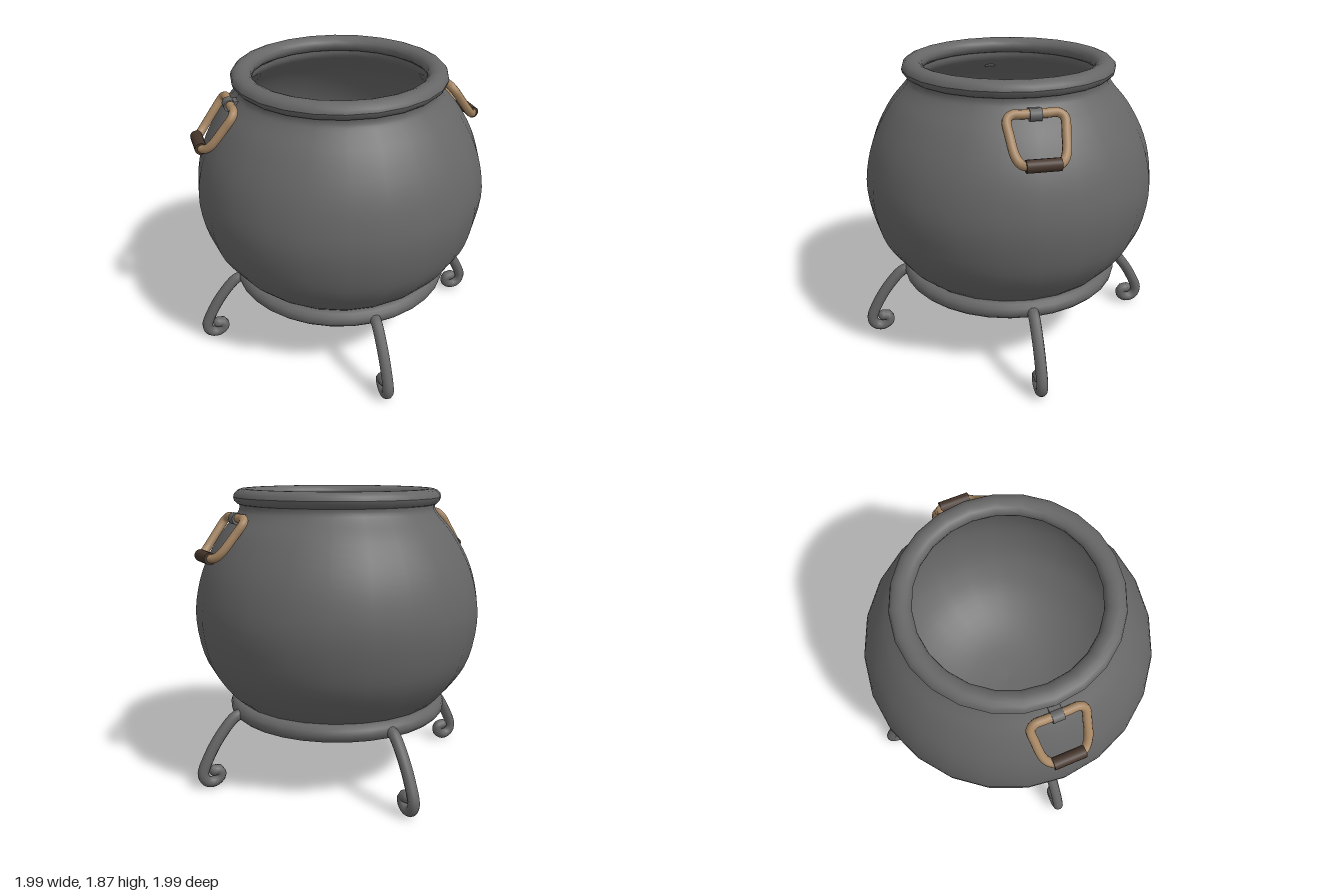
import * as THREE from 'three';

const v2 = (p) => new THREE.Vector2(p[0], p[1]);
const v3 = (p) => new THREE.Vector3(p[0], p[1], p[2]);

function material(name, color, side = THREE.FrontSide) {
  const m = new THREE.MeshStandardMaterial({ color, side });
  m.name = name;
  return m;
}

function addMesh(parent, name, geometry, mat) {
  const mesh = new THREE.Mesh(geometry, mat);
  mesh.name = name;
  parent.add(mesh);
  return mesh;
}

export function createModel() {
  const iron = material('castIron', 0x666666);
  const brass = material('agedBrass', 0xa58562);
  const wood = material('darkWood', 0x45352b);
  const model = new THREE.Group();
  model.name = 'cauldron';

  // Pot: round outer wall up to the neck, then back down the inner wall
  const outer = [[0, 0.33], [0.25, 0.347], [0.47, 0.405], [0.66, 0.515], [0.79, 0.655], [0.88, 0.82],
    [0.924, 1.06], [0.903, 1.26], [0.845, 1.435], [0.75, 1.6], [0.665, 1.7], [0.63, 1.75], [0.63, 1.79]];
  const inner = [[0.575, 1.79], [0.58, 1.74], [0.63, 1.68], [0.72, 1.58], [0.81, 1.43], [0.87, 1.26],
    [0.89, 1.06], [0.845, 0.83], [0.755, 0.675], [0.63, 0.545], [0.45, 0.44], [0.25, 0.383], [0, 0.365]];
  const smooth = (pts, n) => {
    const out = new THREE.SplineCurve(pts.map(v2)).getPoints(n);
    out.forEach((p) => { p.x = Math.max(p.x, 0); });
    return out;
  };
  addMesh(model, 'potOuterWall', new THREE.LatheGeometry(smooth(outer, 36), 24), iron);
  addMesh(model, 'potInnerWall', new THREE.LatheGeometry(smooth(inner, 36), 24), iron);

  // Rolled rim: slightly flattened round section
  const rim = [];
  for (let i = 0; i <= 14; i++) {
    const a = (i / 14) * Math.PI * 2;
    rim.push(new THREE.Vector2(0.6 + 0.065 * Math.cos(a), 1.825 + 0.052 * Math.sin(a)));
  }
  addMesh(model, 'rim', new THREE.LatheGeometry(rim, 24), iron);

  // Stand ring
  const ring = addMesh(model, 'standRing', new THREE.TorusGeometry(0.665, 0.056, 12, 32), iron);
  ring.rotation.x = Math.PI / 2;
  ring.position.y = 0.464;

  // Four scrolled legs
  const legPath = new THREE.CatmullRomCurve3([
    [0.68, 0.463, 0], [0.735, 0.45, 0], [0.835, 0.345, 0], [0.92, 0.21, 0], [0.963, 0.1, 0], [0.945, 0.052, 0],
    [0.9, 0.036, 0], [0.852, 0.065, 0], [0.854, 0.106, 0], [0.89, 0.112, 0],
  ].map(v3), false, 'centripetal');
  const legGeometry = new THREE.TubeGeometry(legPath, 44, 0.036, 10);
  const capGeometry = new THREE.SphereGeometry(0.036, 10, 8);
  for (let i = 0; i < 4; i++) {
    const leg = new THREE.Group();
    leg.name = 'leg' + (i + 1);
    leg.rotation.y = (i * Math.PI) / 2;
    addMesh(leg, 'legScroll', legGeometry, iron);
    for (const t of [0, 1]) addMesh(leg, 'legCap', capGeometry, iron).position.copy(legPath.getPoint(t));
    model.add(leg);
  }

  // Side handles: bent loop, grip and hinge
  const half = [[0.688, 1.71, 0.07], [0.688, 1.71, 0.13], [0.704, 1.688, 0.162], [0.76, 1.615, 0.158],
    [0.835, 1.52, 0.14], [0.868, 1.489, 0.115], [0.89, 1.485, 0.08]];
  const loop = [...half, ...half.map(([x, y, z]) => [x, y, -z]).reverse()].map(v3);
  const loopPath = new THREE.CatmullRomCurve3(loop, true, 'centripetal');
  const loopGeometry = new THREE.TubeGeometry(loopPath, 64, 0.027, 10, true);
  const gripGeometry = new THREE.CylinderGeometry(0.037, 0.037, 0.195, 14).rotateX(Math.PI / 2);
  const hingeGeometry = new THREE.CylinderGeometry(0.037, 0.037, 0.07, 12).rotateX(Math.PI / 2);
  const lugGeometry = new THREE.BoxGeometry(0.06, 0.06, 0.07);
  for (const side of ['left', 'right']) {
    const handle = new THREE.Group();
    handle.name = side + 'Handle';
    handle.rotation.y = side === 'left' ? 0 : Math.PI;
    addMesh(handle, 'handleLoop', loopGeometry, brass);
    addMesh(handle, 'handleGrip', gripGeometry, wood).position.set(0.89, 1.485, 0);
    addMesh(handle, 'handleHinge', hingeGeometry, iron).position.set(0.69, 1.705, 0);
    addMesh(handle, 'handleLug', lugGeometry, iron).position.set(0.655, 1.7, 0);
    model.add(handle);
  }

  return model;
}
